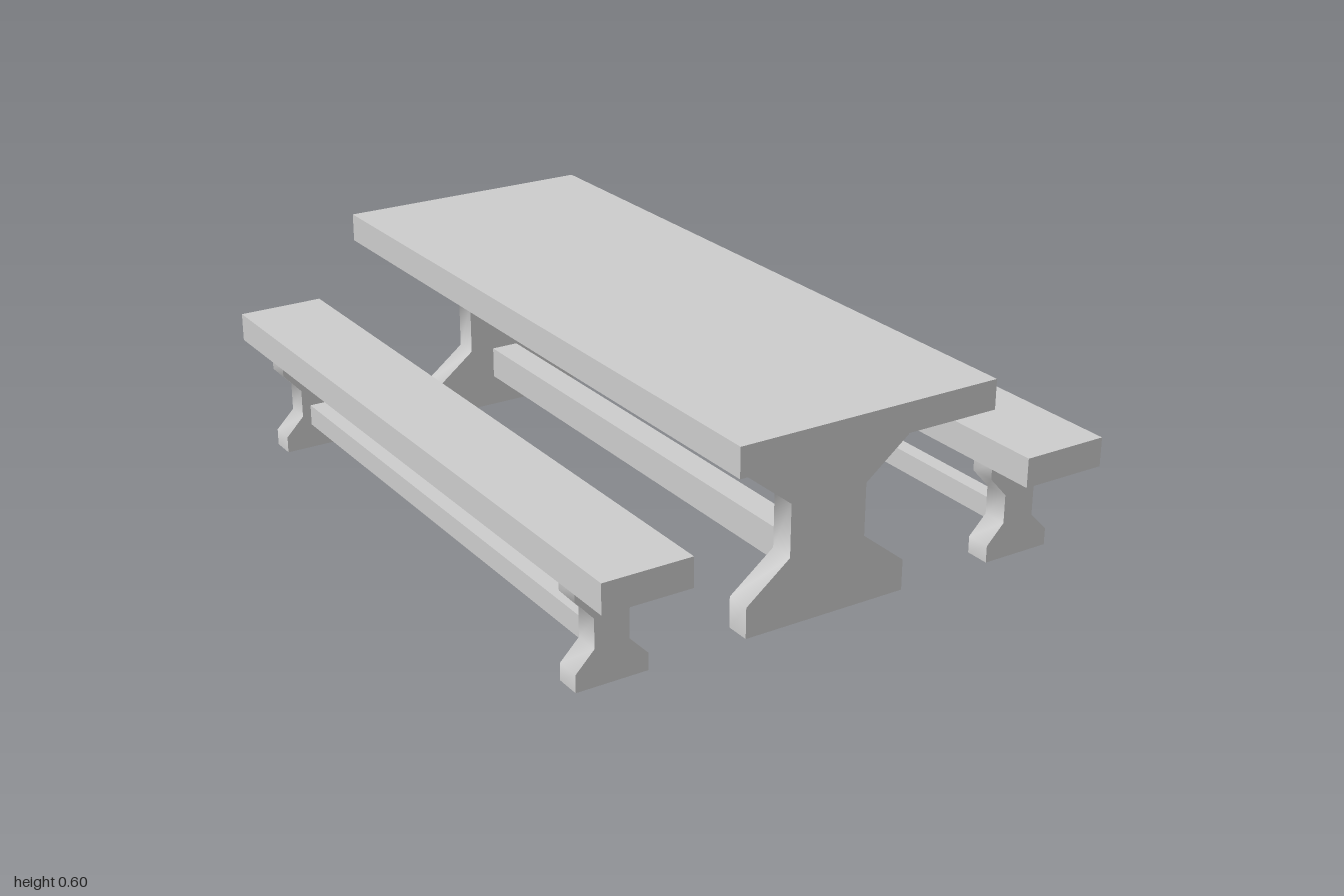
import * as THREE from 'three';
import { toCreasedNormals } from 'three/addons/utils/BufferGeometryUtils.js';

const material = new THREE.MeshStandardMaterial({ color: 0xcccccc });
const POST_INNER = 0.775, POST_DEPTH = 0.07;

// Box given by its width, its vertical extent and its length along z
function plank(name, width, y0, y1, length) {
  const mesh = new THREE.Mesh(new THREE.BoxGeometry(width, y1 - y0, length), material);
  mesh.name = name;
  mesh.position.y = (y0 + y1) / 2;
  return mesh;
}

// Waisted trestle post; profile lists the right-hand outline from bottom to top
function postGeometry(profile) {
  const left = profile.map(([x, y]) => [-x, y]).reverse();
  const shape = new THREE.Shape([...profile, ...left].map(([x, y]) => new THREE.Vector2(x, y)));
  const geometry = new THREE.ExtrudeGeometry(shape, { depth: POST_DEPTH, bevelEnabled: false });
  geometry.translate(0, 0, -POST_DEPTH / 2);
  return toCreasedNormals(geometry, 1.05);
}

// Top board on two posts joined by a low rail
function trestle(name, { top, rail, profile }) {
  const group = new THREE.Group();
  group.name = name;
  group.add(plank(name + 'Top', ...top, 2));
  group.add(plank(name + 'Rail', ...rail, POST_INNER * 2));
  const geometry = postGeometry(profile);
  for (const [end, side] of [['front', 1], ['back', -1]]) {
    const post = new THREE.Mesh(geometry, material);
    post.name = end + 'Post';
    post.position.z = side * (POST_INNER + POST_DEPTH / 2);
    group.add(post);
  }
  return group;
}

export function createModel() {
  const model = new THREE.Group();
  model.name = 'picnicTable';

  model.add(trestle('table', {
    top: [0.75, 0.52, 0.6],
    rail: [0.08, 0.09, 0.18],
    profile: [[0.24, 0], [0.24, 0.085], [0.113, 0.185], [0.113, 0.33], [0.24, 0.43], [0.24, 0.52]],
  }));

  // Matching benches on both sides
  for (const [name, side] of [['leftBench', 1], ['rightBench', -1]]) {
    const bench = trestle(name, {
      top: [0.245, 0.28, 0.36],
      rail: [0.045, 0.07, 0.13],
      profile: [[0.1, 0], [0.1, 0.047], [0.048, 0.1], [0.048, 0.18], [0.1, 0.237], [0.1, 0.28]],
    });
    bench.position.x = side * 0.62;
    model.add(bench);
  }
  return model;
}
